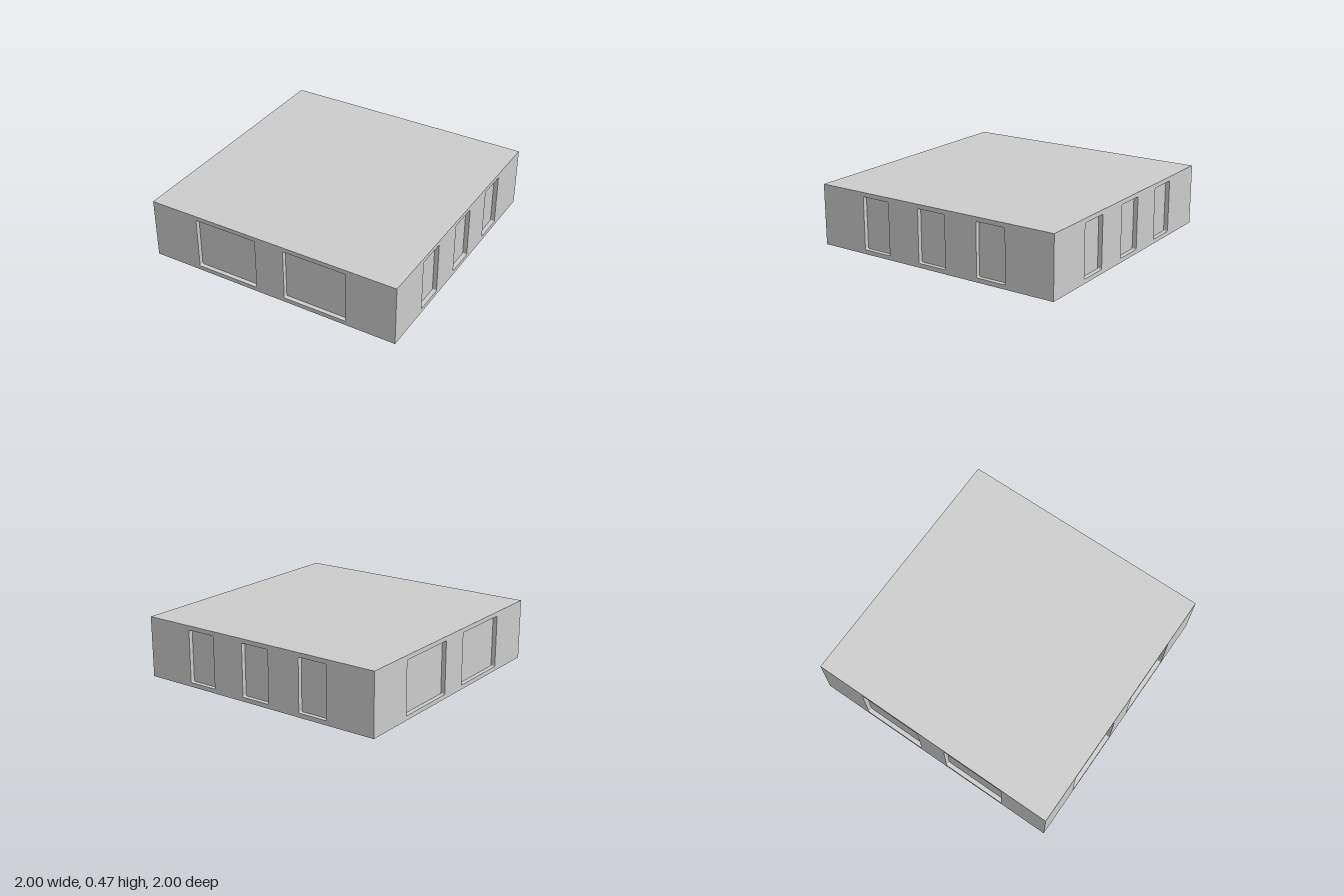
import * as THREE from 'three';

const UNIT = 1 / 30;
const HEIGHT = 14 * UNIT, DEPTH = UNIT, RADIUS = 0.008;
const SILL = UNIT, OPENING_HEIGHT = 12 * UNIT;
const WIDE = { width: 15 * UNIT, centres: [-11 * UNIT, 11 * UNIT] };
const NARROW = { width: 7 * UNIT, centres: [-0.5, 0, 0.5] };

const material = new THREE.MeshStandardMaterial({ color: 0xcccccc });

function addMesh(parent, name, geometry) {
  const mesh = new THREE.Mesh(geometry, material);
  mesh.name = name;
  parent.add(mesh);
  return mesh;
}

// Opening outline with slightly rounded corners, counter-clockwise
function openingShape(centre, width) {
  const x0 = centre - width / 2, x1 = centre + width / 2;
  const y0 = SILL, y1 = SILL + OPENING_HEIGHT, r = RADIUS, q = Math.PI / 2;
  const shape = new THREE.Shape();
  shape.moveTo(x0 + r, y0);
  shape.absarc(x1 - r, y0 + r, r, -q, 0);
  shape.absarc(x1 - r, y1 - r, r, 0, q);
  shape.absarc(x0 + r, y1 - r, r, q, 2 * q);
  shape.absarc(x0 + r, y0 + r, r, 2 * q, 3 * q);
  return shape;
}

// Strip around the inside of an opening, from the wall face to the panel
function revealGeometry(shape) {
  const points = shape.getPoints(4);
  const positions = [];
  points.forEach((a, i) => {
    const b = points[(i + 1) % points.length];
    if (a.distanceTo(b) < 1e-6) return;
    positions.push(a.x, a.y, 0, b.x, b.y, 0, b.x, b.y, -DEPTH);
    positions.push(a.x, a.y, 0, b.x, b.y, -DEPTH, a.x, a.y, -DEPTH);
  });
  const geometry = new THREE.BufferGeometry();
  geometry.setAttribute('position', new THREE.Float32BufferAttribute(positions, 3));
  geometry.computeVertexNormals();
  return geometry;
}

// One wall with its recessed panels, facing +z before it is turned
function createWall(name, { width, centres }, angle) {
  const wall = new THREE.Group();
  wall.name = name;
  const face = new THREE.Shape([
    new THREE.Vector2(-1, 0), new THREE.Vector2(1, 0),
    new THREE.Vector2(1, HEIGHT), new THREE.Vector2(-1, HEIGHT),
  ]);
  for (const centre of centres) {
    const opening = openingShape(centre, width);
    face.holes.push(opening);
    addMesh(wall, 'recessReveal', revealGeometry(opening)).position.z = 1;
    addMesh(wall, 'recessPanel', new THREE.ShapeGeometry(opening, 4)).position.z = 1 - DEPTH;
  }
  addMesh(wall, 'wallFace', new THREE.ShapeGeometry(face, 4)).position.z = 1;
  wall.rotation.y = angle;
  return wall;
}

export function createModel() {
  const model = new THREE.Group();
  model.name = 'building';

  // Wide recesses on the front and one side, narrow ones on the other two walls
  model.add(
    createWall('frontWall', WIDE, 0),
    createWall('leftWall', NARROW, Math.PI / 2),
    createWall('backWall', NARROW, Math.PI),
    createWall('rightWall', WIDE, -Math.PI / 2),
  );

  // Flat roof and floor close the block
  const roof = addMesh(model, 'roof', new THREE.PlaneGeometry(2, 2));
  roof.rotation.x = -Math.PI / 2;
  roof.position.y = HEIGHT;
  addMesh(model, 'floor', new THREE.PlaneGeometry(2, 2)).rotation.x = Math.PI / 2;

  return model;
}
